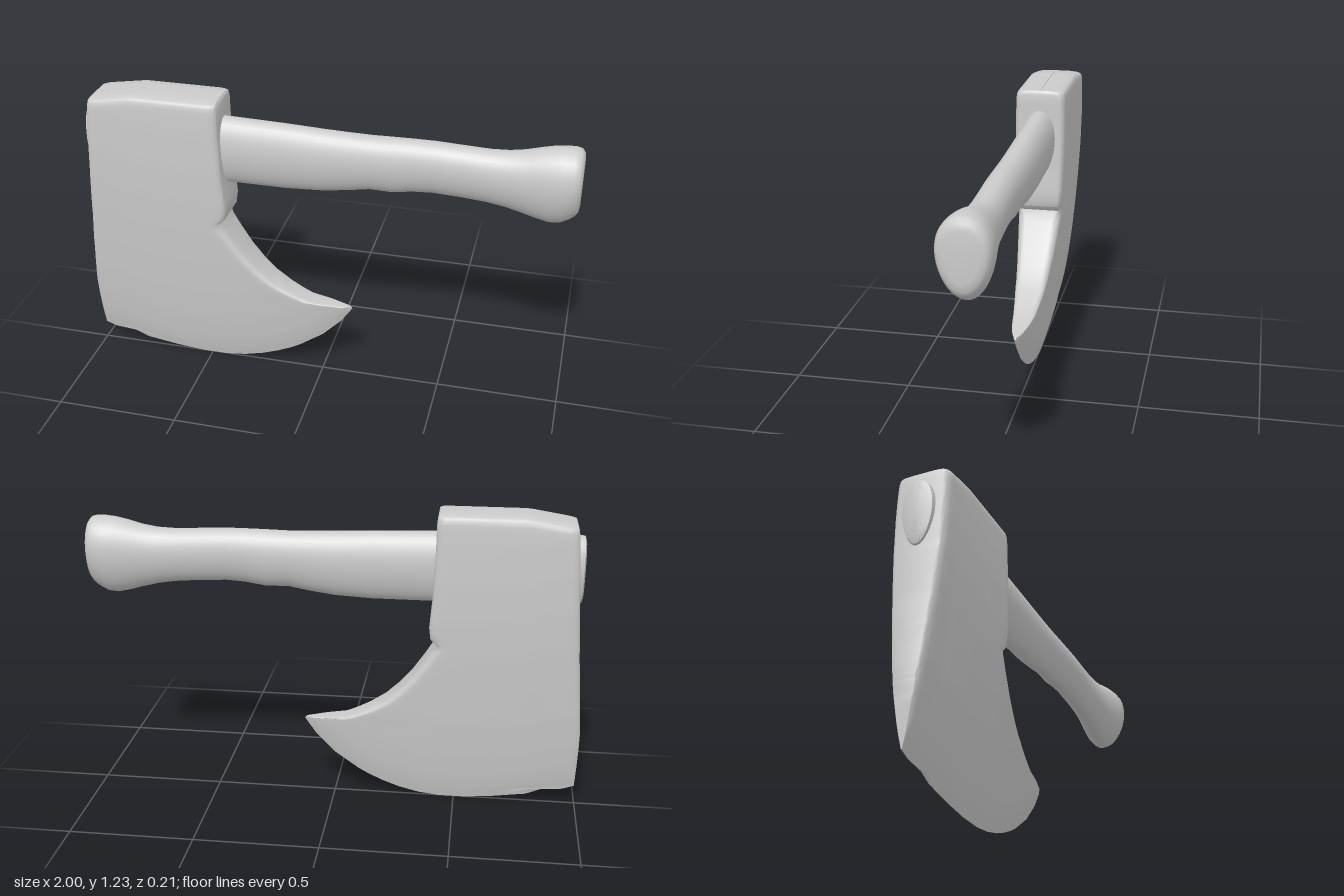
import * as THREE from 'three';
import { toCreasedNormals } from 'three/addons/utils/BufferGeometryUtils.js';

// Linear lookup in a short table of [key, v1, v2, ...]
function look(table, k, col = 1) {
  if (k <= table[0][0]) return table[0][col];
  for (let i = 1; i < table.length; i++) {
    const a = table[i - 1], b = table[i];
    if (k <= b[0]) return THREE.MathUtils.lerp(a[col], b[col], (k - a[0]) / (b[0] - a[0]));
  }
  return table[table.length - 1][col];
}

// Table keys plus evenly spaced keys between them
function refine(table, step) {
  const keys = [];
  table.forEach((row, i) => {
    keys.push(row[0]);
    if (i === table.length - 1) return;
    const gap = table[i + 1][0] - row[0], n = Math.ceil(gap / step);
    for (let j = 1; j < n; j++) keys.push(row[0] + gap * j / n);
  });
  return keys;
}

// Closed rings of [x, y, z] joined into a skin with both ends capped
function loft(rings, crease) {
  const n = rings[0].length, pos = rings.flat(2), idx = [];
  for (let j = 0; j < rings.length - 1; j++) {
    for (let i = 0; i < n; i++) {
      const a = j * n + i, b = j * n + (i + 1) % n;
      idx.push(a, b, b + n, a, b + n, a + n);
    }
  }
  [0, rings.length - 1].forEach((j, end) => {
    const c = pos.length / 3;
    for (let k = 0; k < 3; k++) pos.push(rings[j].reduce((s, p) => s + p[k], 0) / n);
    for (let i = 0; i < n; i++) {
      const a = j * n + i, b = j * n + (i + 1) % n;
      if (end) idx.push(c, a, b); else idx.push(c, b, a);
    }
  });
  const geo = new THREE.BufferGeometry();
  geo.setAttribute('position', new THREE.Float32BufferAttribute(pos, 3));
  geo.setIndex(idx);
  return toCreasedNormals(geo, crease);
}

// Head outline: height, left x, right x
const OUTLINE = [
  [0.005, -0.55, -0.43], [0.015, -0.66, -0.35], [0.035, -0.8, -0.27], [0.06, -0.86, -0.2],
  [0.068, -0.95, -0.183], [0.085, -0.995, -0.145], [0.11, -0.996, -0.1], [0.18, -0.998, 0],
  [0.26, -1, 0.078], [0.33, -1, 0.127], [0.338, -0.999, 0.12], [0.346, -0.999, 0.05],
  [0.355, -0.998, -0.04], [0.375, -0.997, -0.09], [0.4, -0.995, -0.142], [0.44, -0.992, -0.205],
  [0.49, -0.988, -0.26], [0.55, -0.984, -0.313], [0.62, -0.978, -0.362], [0.68, -0.972, -0.4],
  [0.705, -0.971, -0.412], [0.73, -0.969, -0.388], [0.78, -0.966, -0.382], [0.9, -0.957, -0.392],
  [1.1, -0.945, -0.4], [1.2, -0.938, -0.401], [1.225, -0.935, -0.404], [1.235, -0.93, -0.41],
];
// Height of the cutting edge along x
const EDGE = [
  [-1, 0.085], [-0.93, 0.067], [-0.86, 0.06], [-0.8, 0.035], [-0.66, 0.015], [-0.55, 0.005],
  [-0.43, 0.005], [-0.35, 0.015], [-0.2, 0.06], [-0.1, 0.11], [0, 0.18], [0.08, 0.26], [0.127, 0.33],
];
// Half thickness by height above the cutting edge
const WEDGE = [
  [0, 0.002], [0.05, 0.016], [0.1, 0.027], [0.2, 0.044], [0.35, 0.064], [0.5, 0.079],
  [0.65, 0.092], [0.8, 0.102], [0.95, 0.107], [1.1, 0.107], [1.2, 0.104],
];
const CORNER = [0, 0.003, 0.008, 0.016, 0.026, 0.036];

function headRing(y, topScale = 1) {
  const xl = look(OUTLINE, y, 1), xr = look(OUTLINE, y, 2), w = xr - xl;
  const k = Math.min(1, w / 0.2), r = 0.036 * k, xs = [];
  CORNER.forEach(d => xs.push(xl + d * k));
  for (let i = 1; i < 20; i++) xs.push(xl + r + (w - 2 * r) * i / 20);
  [...CORNER].reverse().forEach(d => xs.push(xr - d * k));
  const rightRound = y < 0.7 ? 0.36 : 0.2;
  const round = (d, amount) => {
    const s = 1 - Math.min(1, d / r);
    return 1 - amount * (1 - Math.sqrt(1 - s * s));
  };
  const front = xs.map(x => {
    const z = look(WEDGE, y - look(EDGE, x)) * round(x - xl, 0.2) * round(xr - x, rightRound);
    // The top drops slightly toward the far left
    const drop = 0.03 * THREE.MathUtils.clamp((-0.75 - x) / 0.18, 0, 1);
    return [x, y - drop * Math.max(0, (y - 1.1) / 0.135), z * topScale];
  });
  return [...front, ...front.map(([x, yy, z]) => [x, yy, -z]).reverse()];
}

function makeHead() {
  const rings = refine(OUTLINE, 0.03).filter(y => y < 1.21).map(y => headRing(y));
  // Rounded crown
  [[1.216, 0.98], [1.225, 0.94], [1.231, 0.84], [1.235, 0.5], [1.235, 0.01]]
    .forEach(([y, s]) => rings.push(headRing(y, s)));
  return loft(rings, 0.7);
}

// Handle: x, top, bottom, half width
const HANDLE = [
  [-0.972, 1.13, 0.9, 0.045], [-0.966, 1.15, 0.88, 0.06], [-0.94, 1.155, 0.87, 0.066],
  [-0.4, 1.15, 0.866, 0.067], [-0.15, 1.143, 0.866, 0.067], [0, 1.136, 0.874, 0.067],
  [0.1, 1.133, 0.888, 0.066], [0.19, 1.131, 0.904, 0.065], [0.28, 1.133, 0.902, 0.065],
  [0.36, 1.134, 0.915, 0.064], [0.44, 1.134, 0.92, 0.064], [0.55, 1.129, 0.915, 0.064],
  [0.65, 1.125, 0.907, 0.066], [0.72, 1.128, 0.896, 0.07], [0.78, 1.138, 0.881, 0.077],
  [0.84, 1.154, 0.864, 0.086], [0.89, 1.165, 0.853, 0.093], [0.93, 1.169, 0.857, 0.098],
  [0.965, 1.169, 0.876, 0.097], [0.985, 1.164, 0.893, 0.091], [0.996, 1.15, 0.91, 0.08],
  [1, 1.125, 0.94, 0.06],
];

function makeHandle() {
  const sides = 36;
  const rings = refine(HANDLE, 0.05).map(x => {
    const top = look(HANDLE, x, 1), bottom = look(HANDLE, x, 2), hz = look(HANDLE, x, 3);
    return Array.from({ length: sides }, (_, i) => {
      const a = i / sides * Math.PI * 2, s = -Math.sin(a);
      // Egg-shaped section, narrower below
      return [x, (top + bottom) / 2 + s * (top - bottom) / 2, Math.cos(a) * hz * (1 + 0.14 * s)];
    });
  });
  return loft(rings, 0.9);
}

export function createModel() {
  const group = new THREE.Group();
  group.name = 'axe';
  const material = new THREE.MeshStandardMaterial({ color: 0xcccccc });
  const add = (name, geometry) => {
    const mesh = new THREE.Mesh(geometry, material);
    mesh.name = name;
    group.add(mesh);
  };
  add('axeHead', makeHead());
  add('handle', makeHandle());
  return group;
}
